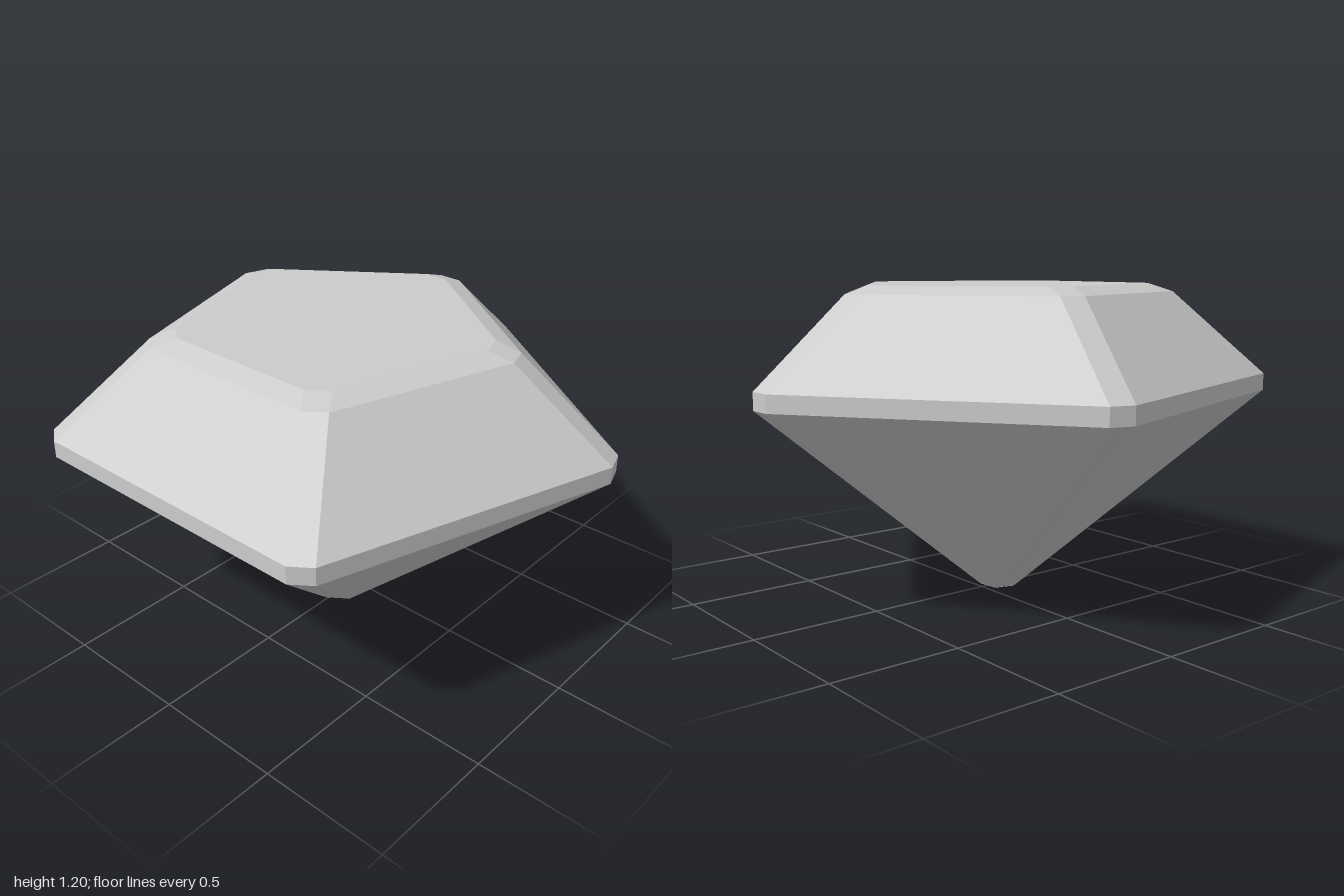
import * as THREE from 'three';

const SIDES = 5;
const CORNER = 0.045; // half width of every clipped corner
const CENTRE_X = -0.086;

// Pentagon with clipped corners: d is the distance from the axis to each clipped corner.
function ring(y, d) {
  const points = [];
  for (let k = 0; k < SIDES; k++) {
    const t = (k * Math.PI * 2) / SIDES;
    for (const w of [-CORNER, CORNER]) {
      points.push(new THREE.Vector3(
        d * Math.cos(t) - w * Math.sin(t), y, d * Math.sin(t) + w * Math.cos(t)));
    }
  }
  return points;
}

// Facets between neighbouring rings (bottom to top), with optional flat caps.
function facets(name, material, rings, { capBottom = false, capTop = false } = {}) {
  const tris = [];
  const n = SIDES * 2;
  for (let r = 0; r < rings.length - 1; r++) {
    const lo = rings[r], hi = rings[r + 1];
    for (let i = 0; i < n; i++) {
      const j = (i + 1) % n;
      tris.push(lo[i], hi[i], lo[j], lo[j], hi[i], hi[j]);
    }
  }
  const first = rings[0], last = rings[rings.length - 1];
  for (let i = 1; i < n - 1; i++) {
    if (capBottom) tris.push(first[0], first[i], first[i + 1]);
    if (capTop) tris.push(last[0], last[i + 1], last[i]);
  }
  const geometry = new THREE.BufferGeometry().setFromPoints(tris);
  geometry.computeVertexNormals();
  const mesh = new THREE.Mesh(geometry, material);
  mesh.name = name;
  return mesh;
}

export function createModel() {
  const group = new THREE.Group();
  group.name = 'gem';
  const material = new THREE.MeshStandardMaterial({ color: 0xcccccc, flatShading: true });

  const tip = ring(0, 0.058);
  const girdleLow = ring(0.785, 1.037);
  const girdleHigh = ring(0.85, 1.037);
  const shoulder = ring(1.17, 0.668);
  const tableEdge = ring(1.2, 0.576);

  const gem = new THREE.Group();
  gem.name = 'cutStone';
  gem.position.x = CENTRE_X;
  gem.add(
    // Lower cone of facets ending in a small flat tip
    facets('pavilion', material, [tip, girdleLow], { capBottom: true }),
    // Upright band at the widest point
    facets('girdle', material, [girdleLow, girdleHigh]),
    // Sloping upper facets
    facets('crown', material, [girdleHigh, shoulder]),
    // Narrow bevel and flat top
    facets('table', material, [shoulder, tableEdge], { capTop: true }),
  );
  group.add(gem);
  return group;
}
